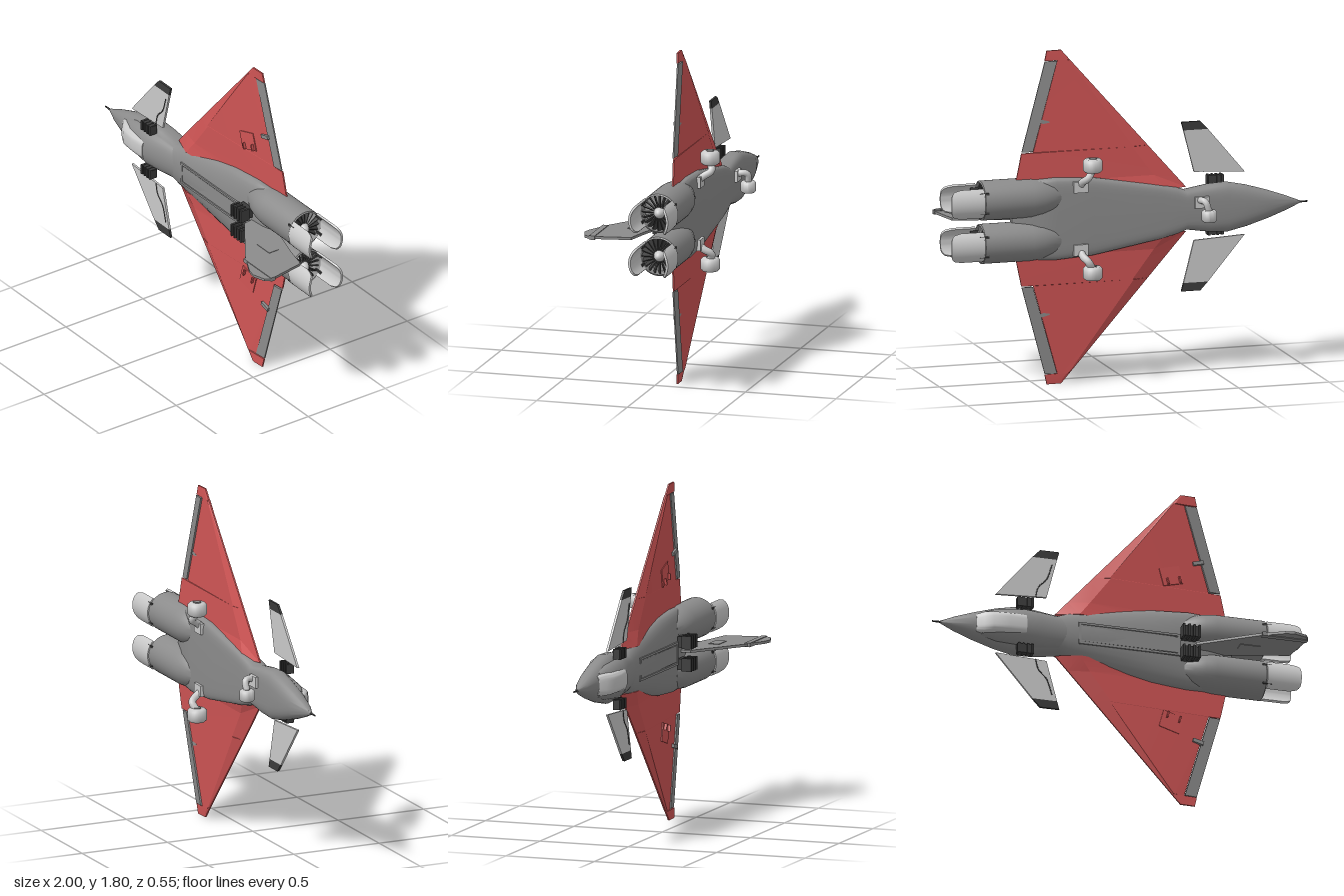
import * as THREE from 'three';
import { toCreasedNormals } from 'three/addons/utils/BufferGeometryUtils.js';

const mat = (color) => new THREE.MeshStandardMaterial({ color });
const red = mat(0xd05555), body = mat(0x8c8c8c), light = mat(0xcccccc), dark = mat(0x3c3c3c);
const CZ = -0.115; // height of the engine axes

function add(parent, name, geo, material, x = 0, y = 0, z = 0) {
  const m = new THREE.Mesh(geo, material);
  m.name = name;
  m.position.set(x, y, z);
  parent.add(m);
  return m;
}
const box = (x, y, z) => new THREE.BoxGeometry(x, y, z);

// Closed skin through rings of [x, y, z] points, capped at both ends
function loft(rings, crease = 0.6) {
  const p = [], n = rings[0].length;
  const tri = (a, b, c) => p.push(...a, ...b, ...c);
  for (let r = 0; r < rings.length - 1; r++) {
    for (let i = 0; i < n; i++) {
      const a = rings[r], b = rings[r + 1], j = (i + 1) % n;
      tri(a[i], a[j], b[i]);
      tri(a[j], b[j], b[i]);
    }
  }
  const s = rings[0], e = rings[rings.length - 1];
  for (let i = 1; i < n - 1; i++) {
    tri(s[0], s[i + 1], s[i]);
    tri(e[0], e[i], e[i + 1]);
  }
  const g = new THREE.BufferGeometry();
  g.setAttribute('position', new THREE.Float32BufferAttribute(p, 3));
  return toCreasedNormals(g, crease);
}

// Superellipse hull section: half width, bottom, middle, top, upper and lower squareness
function hullRing([x, w, zB, zM, zT, nU = 2, nL = 2.5]) {
  return Array.from({ length: 32 }, (_, i) => {
    const t = (i / 32) * Math.PI * 2, c = Math.cos(t), s = Math.sin(t), k = 2 / (s >= 0 ? nU : nL);
    const h = s >= 0 ? zT - zM : zM - zB;
    return [x, w * Math.sign(c) * Math.abs(c) ** k, zM + h * Math.sign(s) * Math.abs(s) ** k];
  });
}

// Flat plate: outline in x-y (or in x-z when upright)
function plate(pts, thick, upright = false, hole) {
  const s = new THREE.Shape(pts.map((q) => new THREE.Vector2(...q)));
  if (hole) s.holes.push(new THREE.Path(hole.map((q) => new THREE.Vector2(...q))));
  const g = new THREE.ExtrudeGeometry(s, { depth: thick, bevelEnabled: false });
  g.translate(0, 0, -thick / 2);
  return upright ? g.rotateX(Math.PI / 2) : g;
}
const rect = (x0, x1, h) => [[x0, -h], [x1, -h], [x1, h], [x0, h]];
const tube = (pts, r) => new THREE.TubeGeometry(
  new THREE.CatmullRomCurve3(pts.map((q) => new THREE.Vector3(...q))), 12, r, 10);

function wing() {
  const g = new THREE.Group();
  // [span, trailing edge x, top z, bottom z, trailing edge z]; the step leaves room for the aileron
  const rings = [
    [0.12, 0.64, -0.065, -0.16, -0.137], [0.2, 0.622, -0.08, -0.14, -0.135],
    [0.358, 0.588, -0.083, -0.133, -0.13], [0.36, 0.522, -0.083, -0.133, -0.126],
    [0.845, 0.382, -0.094, -0.112, -0.108], [0.847, 0.452, -0.094, -0.112, -0.108],
    [0.9, 0.44, -0.097, -0.107, -0.105],
  ].map(([y, x1, zT, zB, zE]) => {
    const x0 = -0.31 + (y - 0.14) * 0.8816, c = x1 - x0, zL = (zT + zB) / 2;
    return [[x0 + 0.13 * c, y, zT], [x1, y, zE + 0.004], [x1, y, zE - 0.004],
      [x0 + 0.13 * c, y, zB], [x0, y, zL - 0.004], [x0, y, zL + 0.004]];
  });
  add(g, 'wingPanel', loft(rings, 0.15), red);
  const flap = (y, x0, x1, z) => [[x0, y, z + 0.01], [x1, y, z + 0.003], [x1, y, z - 0.004], [x0, y, z - 0.01]];
  add(g, 'aileron', loft([flap(0.365, 0.525, 0.585, -0.126), flap(0.843, 0.386, 0.452, -0.11)], 0.2), body);
  add(g, 'aileronActuator', box(0.06, 0.02, 0.025), body, 0.46, 0.52, -0.112).rotation.z = 0.27;
  // Access hatch with two brackets
  const hatch = new THREE.Group();
  hatch.name = 'wingHatch';
  hatch.position.set(0.31, 0.425, -0.107);
  hatch.rotation.set(0, 0.07, 0.27);
  add(hatch, 'hatchCover', box(0.115, 0.1, 0.014), red);
  for (const x of [-0.03, 0.04]) add(hatch, 'hatchBracket', box(0.008, 0.035, 0.03), red, x, -0.03, 0.006);
  g.add(hatch);
  return g;
}

function canard() {
  const g = new THREE.Group();
  add(g, 'canardPlate', plate([[-0.67, 0.17], [-0.39, 0.185], [-0.332, 0.412], [-0.467, 0.412]], 0.012), light, 0, 0, -0.055);
  add(g, 'canardTip', plate([[-0.467, 0.412], [-0.332, 0.412], [-0.32, 0.457], [-0.425, 0.457]], 0.012), dark, 0, 0, -0.055);
  add(g, 'canardSeam', tube([[-0.45, 0.18, -0.049], [-0.435, 0.24, -0.049], [-0.39, 0.29, -0.049], [-0.36, 0.38, -0.049]], 0.003), dark);
  add(g, 'canardPivot', box(0.09, 0.05, 0.035), dark, -0.51, 0.135, -0.045);
  for (let i = 0; i < 4; i++) add(g, 'pivotRib', box(0.012, 0.055, 0.046), dark, -0.545 + i * 0.024, 0.135, -0.045);
  return g;
}

function engine() {
  const g = new THREE.Group();
  const profile = [[0, 0.34], [0.06, 0.37], [0.084, 0.42], [0.1, 0.48], [0.106, 0.54], [0.106, 0.81],
    [0.098, 0.815], [0.096, 0.74], [0, 0.74]].map((q) => new THREE.Vector2(...q));
  add(g, 'nacelle', toCreasedNormals(new THREE.LatheGeometry(profile, 40).rotateZ(-Math.PI / 2), 0.6), body);
  add(g, 'hub', new THREE.SphereGeometry(0.034, 20, 14).scale(1.8, 1, 1), light, 0.77);
  for (let i = 0; i < 20; i++) {
    const spoke = new THREE.Group();
    spoke.name = 'fanBlade';
    spoke.rotation.x = (i / 20) * Math.PI * 2;
    add(spoke, 'blade', box(0.03, 0.07, 0.007), dark, 0.785, 0.063).rotation.y = 0.5;
    g.add(spoke);
  }
  // Curved vectoring paddles below and above the nozzle
  for (const side of [1, -1]) {
    const geo = new THREE.BoxGeometry(1, 2, 1, 6, 16, 1), p = geo.attributes.position;
    for (let i = 0; i < p.count; i++) {
      const u = p.getY(i), a = u * 0.8, r = 0.104 + p.getZ(i) * 0.012;
      const len = 0.125 + 0.06 * Math.sqrt(Math.max(0, 1 - u ** 4));
      p.setXYZ(i, 0.815 + (p.getX(i) + 0.5) * len, Math.sin(a) * r, Math.cos(a) * r);
    }
    geo.rotateX(side > 0 ? 0 : Math.PI);
    add(g, 'paddle', toCreasedNormals(geo, 0.6), light);
    for (const y of [-0.05, 0.05]) add(g, 'paddleHinge', box(0.05, 0.015, 0.015), dark, 0.815, y, side * 0.088);
  }
  return g;
}

function wheel(parent, name, r, w, x, y, z) {
  const e = r * 0.22;
  const pts = [[0, -w / 2], [r - e, -w / 2], [r, -w / 2 + e], [r, w / 2 - e], [r - e, w / 2], [0, w / 2]];
  const geo = new THREE.LatheGeometry(pts.map((q) => new THREE.Vector2(...q)), 28);
  add(parent, name, toCreasedNormals(geo, 0.9), light, x, y, z);
  add(parent, name + 'Hub', new THREE.CylinderGeometry(r * 0.4, r * 0.4, w + 0.008, 16), body, x, y, z);
}

export function createModel() {
  const model = new THREE.Group();
  const jet = new THREE.Group(); // nose to -x, span along y, upper side to +z
  jet.name = 'aircraft';
  jet.position.y = 0.9;
  model.add(jet);

  // Fuselage and nose
  add(jet, 'fuselage', loft([
    [-0.955, 0.007, -0.123, -0.116, -0.109], [-0.88, 0.038, -0.15, -0.115, -0.082],
    [-0.78, 0.074, -0.17, -0.115, -0.06], [-0.66, 0.11, -0.178, -0.11, -0.05, 2, 3],
    [-0.55, 0.133, -0.18, -0.11, -0.043, 2.2, 3.5], [-0.45, 0.127, -0.18, -0.11, -0.04, 2.2, 4],
    [-0.32, 0.105, -0.18, -0.11, -0.04, 2.4, 5], [-0.27, 0.125, -0.18, -0.11, -0.04, 2.2, 5],
    [-0.18, 0.145, -0.18, -0.11, -0.04, 2, 6], [0.2, 0.21, -0.18, -0.11, -0.045, 2.2, 7],
    [0.4, 0.222, -0.18, -0.11, -0.052, 2.6, 7], [0.5, 0.218, -0.175, -0.113, -0.06, 2.6, 5],
    [0.64, 0.16, -0.13, -0.115, -0.1],
  ].map(hullRing)), body);
  add(jet, 'noseProbe', new THREE.CylinderGeometry(0.006, 0.004, 0.06, 10).rotateZ(-Math.PI / 2), dark, -0.97, 0, -0.116);

  // Canopy and the fairing behind it
  add(jet, 'canopy', loft([
    [-0.77, 0.05, -0.1, -0.08, -0.06, 3], [-0.735, 0.059, -0.1, -0.07, -0.03, 3.5], [-0.69, 0.06, -0.1, -0.06, -0.006, 3.5],
    [-0.6, 0.06, -0.1, -0.06, 0.003, 3.5], [-0.51, 0.06, -0.1, -0.06, 0, 3.5],
  ].map(hullRing)), light);
  add(jet, 'canopyFairing', loft([
    [-0.74, 0.068, -0.12, -0.085, -0.046], [-0.66, 0.092, -0.12, -0.08, -0.016, 2], [-0.51, 0.11, -0.12, -0.08, -0.003, 2],
    [-0.42, 0.105, -0.12, -0.08, -0.02, 2], [-0.28, 0.09, -0.12, -0.08, -0.04, 2],
  ].map(hullRing)), body);

  // Spine frame
  add(jet, 'spineFrame', plate(rect(-0.215, 0.345, 0.062), 0.03, false, rect(-0.2, 0.33, 0.05)), body, 0, 0, -0.054);
  add(jet, 'spinePanel', plate(rect(-0.2, 0.345, 0.045), 0.03), body, 0, 0, -0.058);

  // Tail fin
  add(jet, 'tailFin', plate([[0.41, -0.07], [0.42, 0], [0.7, 0.195], [0.83, 0.262], [0.88, 0.273], [0.95, 0.25],
    [0.97, 0.22], [0.93, 0.0], [0.8, -0.03], [0.6, -0.09]], 0.014, true), body);
  add(jet, 'finBar', box(0.25, 0.022, 0.03), body, 0.845, 0, 0.205);
  add(jet, 'finPanel', box(0.11, 0.02, 0.06), body, 0.695, 0, 0.045);

  // Mirrored parts
  for (const s of [1, -1]) {
    const side = new THREE.Group();
    side.name = s > 0 ? 'upperSpanHalf' : 'lowerSpanHalf';
    side.scale.y = s;
    const parts = { wing: wing(), canard: canard(), engine: engine() };
    for (const [name, part] of Object.entries(parts)) {
      part.name = name;
      side.add(part);
    }
    parts.engine.position.set(0, 0.117, CZ);
    // Ribbed block beside the fin
    add(side, 'spineBlock', box(0.08, 0.06, 0.07), dark, 0.387, 0.06, -0.012);
    for (let i = 0; i < 4; i++) add(side, 'blockRib', box(0.012, 0.07, 0.055), dark, 0.345 + i * 0.028, 0.06, 0.006);
    // Main landing gear
    add(side, 'mainStrut', tube([[0.27, 0.17, -0.165], [0.27, 0.2, -0.2], [0.25, 0.225, -0.235], [0.22, 0.27, -0.22]], 0.02), light);
    add(side, 'mainStrutFoot', box(0.08, 0.06, 0.02), light, 0.275, 0.17, -0.184);
    wheel(side, 'mainWheel', 0.052, 0.072, 0.22, 0.29, -0.22);
    jet.add(side);
  }

  // Nose landing gear
  add(jet, 'noseStrut', tube([[-0.39, 0.05, -0.165], [-0.385, 0.06, -0.2], [-0.4, 0.055, -0.235], [-0.42, 0, -0.235]], 0.018), light);
  add(jet, 'noseStrutFoot', box(0.08, 0.06, 0.02), light, -0.395, 0.045, -0.184);
  wheel(jet, 'noseWheel', 0.041, 0.062, -0.42, -0.02, -0.235);
  return model;
}
